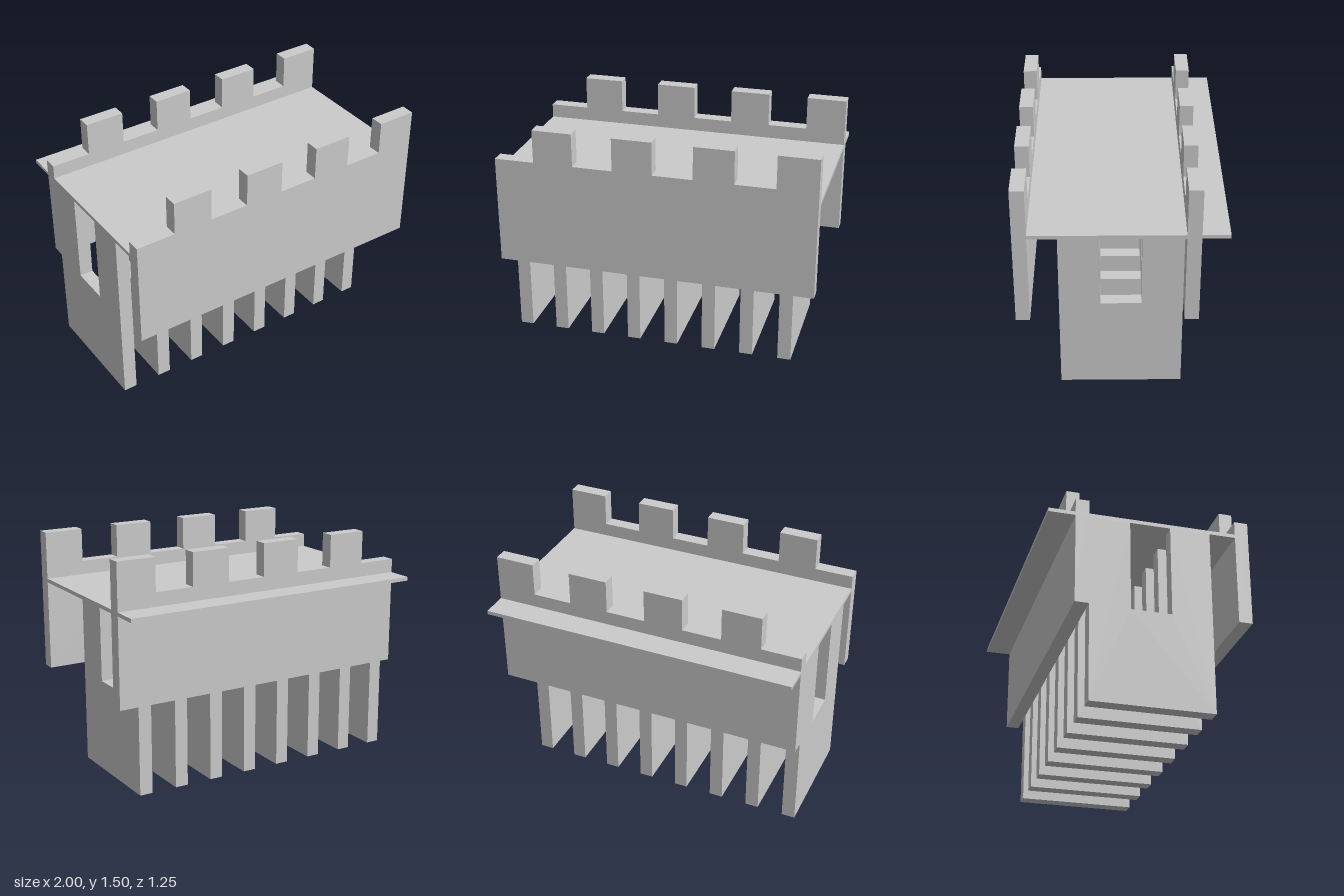
import * as THREE from 'three';

const material = new THREE.MeshStandardMaterial({ color: 0xcccccc, flatShading: true });

function extrude(points, depth) {
  const shape = new THREE.Shape(points.map(([x, y]) => new THREE.Vector2(x, y)));
  return new THREE.ExtrudeGeometry(shape, { depth, bevelEnabled: false });
}

function add(parent, name, geometry, x, y, z) {
  const mesh = new THREE.Mesh(geometry, material);
  mesh.name = name;
  mesh.position.set(x, y, z);
  parent.add(mesh);
  return mesh;
}

export function createModel() {
  const model = new THREE.Group();
  model.name = 'battlementWalkway';

  // Crenellated parapets: four gaps alternating with four merlons
  const low = 1.29, high = 1.5, bottom = 0.605, step = 0.25, thick = 0.085;
  const outline = [[-1, bottom], [1, bottom]];
  for (let i = 7; i >= 0; i--) {
    const y = i % 2 ? high : low;
    outline.push([-1 + (i + 1) * step, y], [-1 + i * step, y]);
  }
  const parapet = extrude(outline, thick);
  add(model, 'frontParapet', parapet, 0, 0, 0.54);
  add(model, 'backParapet', parapet, 0, 0, -0.375 - thick);

  // Thin deck, overhanging behind the back parapet
  add(model, 'deck', new THREE.BoxGeometry(2, 0.024, 1.165), 0, 1.19, -0.0425);

  // Row of upright supports, each notched down the middle
  const notched = [
    [-0.375, 0], [0.375, 0], [0.375, 1.178], [0.125, 1.178],
    [0.125, 0.6], [-0.125, 0.6], [-0.125, 1.178], [-0.375, 1.178],
  ];
  const support = extrude(notched, thick).rotateY(Math.PI / 2);
  const supports = new THREE.Group();
  supports.name = 'supports';
  for (let i = 0; i < 8; i++) add(supports, 'support', support, -1 + i * step, 0, 0);
  model.add(supports);

  return model;
}
